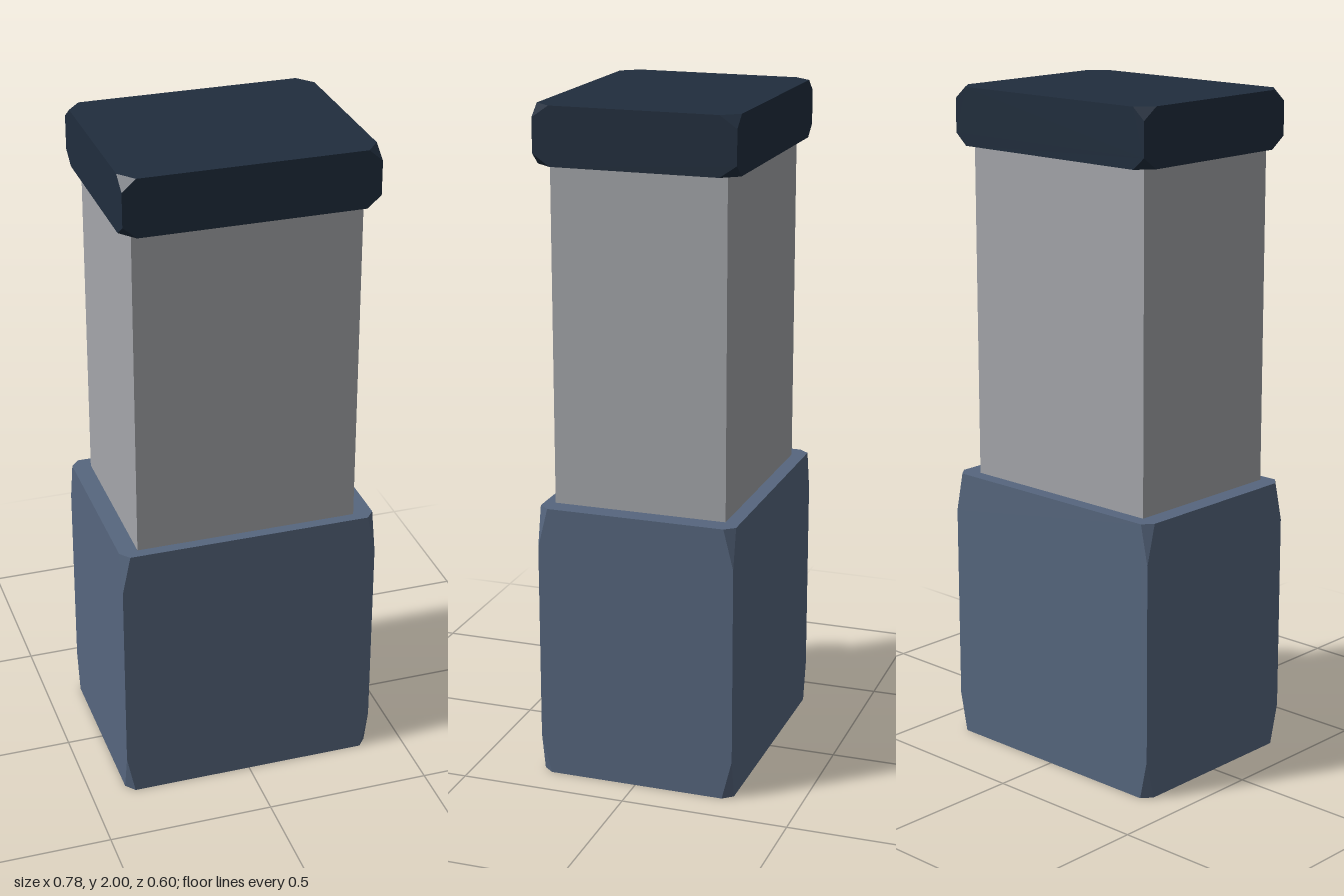
import * as THREE from 'three';
import { ConvexGeometry } from 'three/addons/geometries/ConvexGeometry.js';

const mat = (name, color) => {
  const m = new THREE.MeshStandardMaterial({ color });
  m.name = name;
  return m;
};

// Box with each of its eight corners sliced off by the given lengths along x, y and z
function cutCornerBox(w, h, d, cut) {
  const points = [];
  for (const sx of [-1, 1]) for (const sy of [-1, 1]) for (const sz of [-1, 1]) {
    const corner = new THREE.Vector3(sx * w / 2, sy * h / 2, sz * d / 2);
    points.push(
      corner.clone().add(new THREE.Vector3(-sx * cut[0], 0, 0)),
      corner.clone().add(new THREE.Vector3(0, -sy * cut[1], 0)),
      corner.clone().add(new THREE.Vector3(0, 0, -sz * cut[2])),
    );
  }
  return new ConvexGeometry(points);
}

export function createModel() {
  const group = new THREE.Group();
  const add = (name, geometry, material, x, y, z) => {
    const mesh = new THREE.Mesh(geometry, material);
    mesh.name = name;
    mesh.position.set(x, y, z);
    group.add(mesh);
  };

  // Heavy lower block
  add('base', cutCornerBox(0.78, 0.835, 0.595, [0.025, 0.12, 0.03]),
    mat('slate blue', 0x56667e), 0, 0.4175, -0.002);

  // Square post, sunk slightly into the base and cap
  add('post', new THREE.BoxGeometry(0.665, 1.04, 0.52),
    mat('light grey', 0xa4a6aa), -0.002, 1.33, 0.003);

  // Overhanging lid
  add('cap', cutCornerBox(0.735, 0.17, 0.595, [0.04, 0.035, 0.05]),
    mat('dark navy', 0x202d3d), 0, 1.915, 0.003);

  return group;
}
